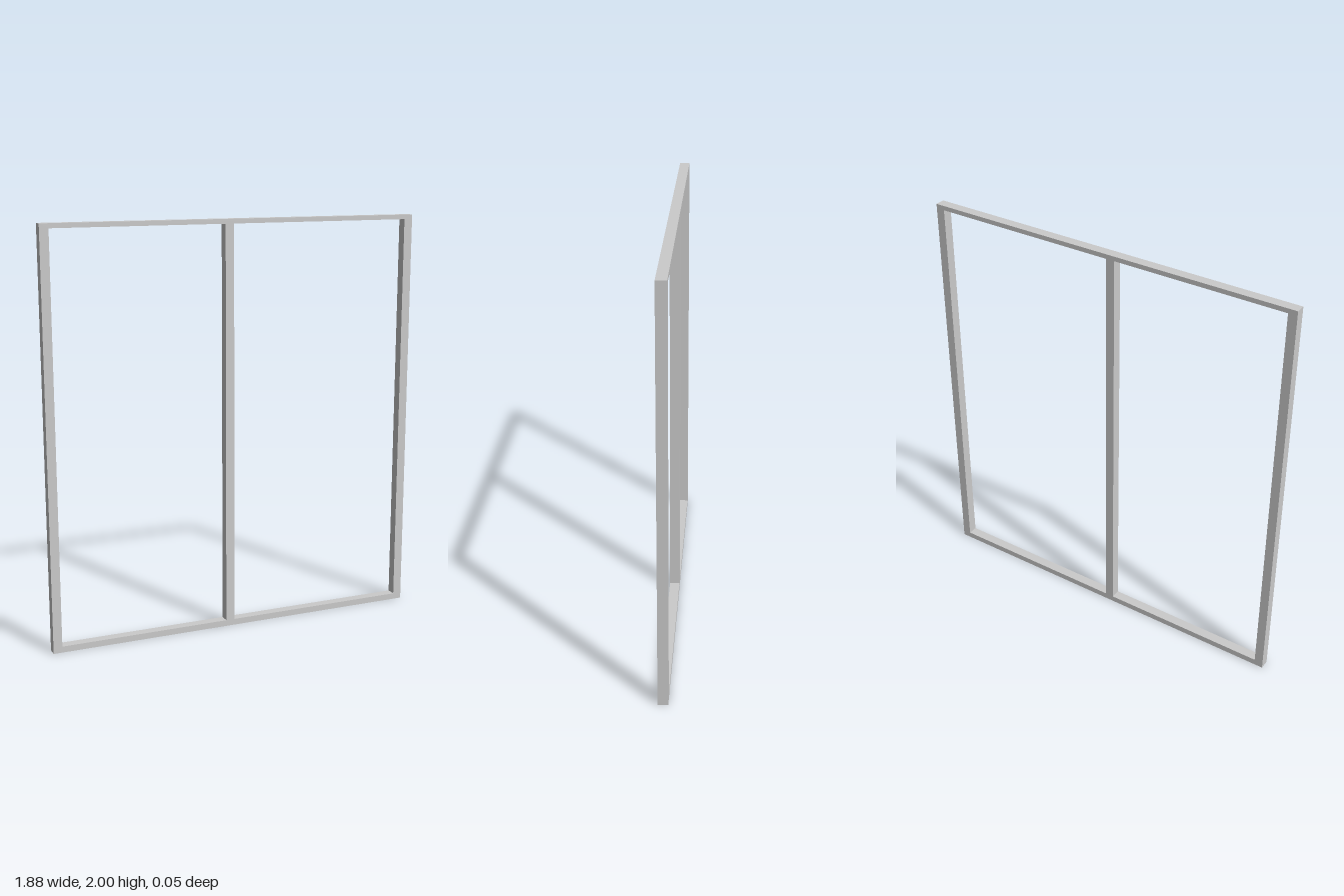
import * as THREE from 'three';

const WIDTH = 1.88, HEIGHT = 2, DEPTH = 0.048;
const STILE = 0.043, TOP_RAIL = 0.022, BOTTOM_RAIL = 0.03;
const MULLION_X = -0.037, MULLION_W = 0.043;

// Trace a closed rectangle onto a Shape or Path
function rectangle(path, x0, y0, x1, y1) {
  path.moveTo(x0, y0);
  path.lineTo(x1, y0);
  path.lineTo(x1, y1);
  path.lineTo(x0, y1);
  path.closePath();
  return path;
}

export function createModel() {
  const group = new THREE.Group();
  group.name = 'windowFrame';
  const material = new THREE.MeshStandardMaterial({ color: 0xcccccc, flatShading: true });

  // Outer frame: stiles and rails around one opening
  const half = WIDTH / 2;
  const outline = rectangle(new THREE.Shape(), -half, 0, half, HEIGHT);
  outline.holes.push(
    rectangle(new THREE.Path(), -half + STILE, BOTTOM_RAIL, half - STILE, HEIGHT - TOP_RAIL)
  );
  const frameGeometry = new THREE.ExtrudeGeometry(outline, { depth: DEPTH, bevelEnabled: false });
  frameGeometry.translate(0, 0, -DEPTH / 2);
  const frame = new THREE.Mesh(frameGeometry, material);
  frame.name = 'outerFrame';
  group.add(frame);

  // Upright bar dividing the opening, slightly off centre
  const barHeight = HEIGHT - TOP_RAIL - BOTTOM_RAIL;
  const mullion = new THREE.Mesh(new THREE.BoxGeometry(MULLION_W, barHeight, DEPTH), material);
  mullion.name = 'mullion';
  mullion.position.set(MULLION_X, BOTTOM_RAIL + barHeight / 2, 0);
  group.add(mullion);

  return group;
}
